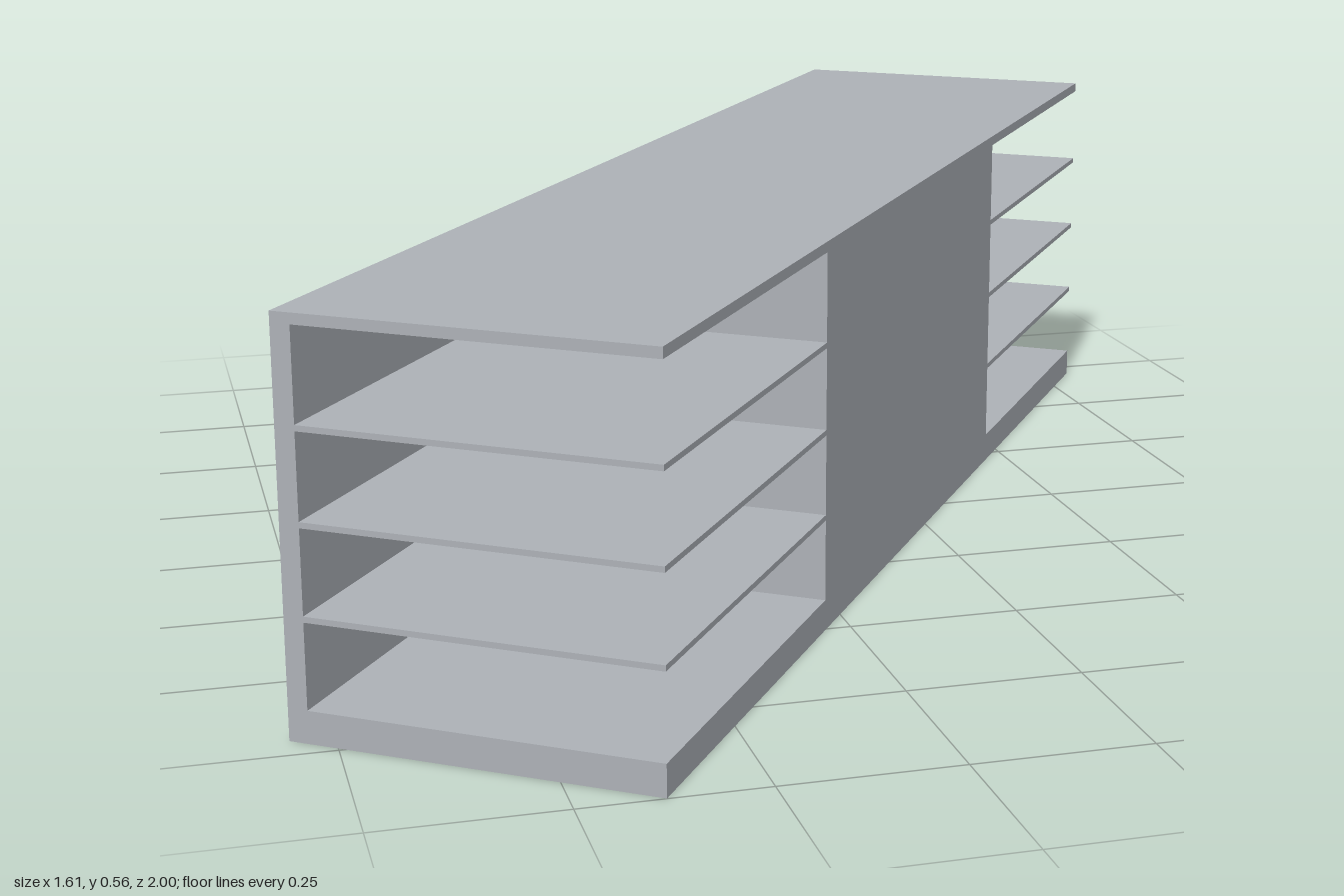
import * as THREE from 'three';

export function createModel() {
  const model = new THREE.Group();
  model.name = 'shelfCounter';

  const grey = new THREE.MeshStandardMaterial({ color: 0xaeb2b8 });
  grey.name = 'paintedGrey';

  // Overall sizes, in the counter's own axes (length along x, open front to +z)
  const length = 2.08, depth = 0.515, height = 0.562;
  const baseHeight = 0.045, topThickness = 0.015, panel = 0.028;
  const shelfThickness = 0.008, coreLength = 0.872;
  const innerDepth = depth - panel;
  const innerHeight = height - baseHeight - topThickness;
  const innerZ = panel / 2;

  const counter = new THREE.Group();
  counter.name = 'counter';
  counter.rotation.y = THREE.MathUtils.degToRad(55);
  model.add(counter);

  // Box whose y is given at its underside
  function addBox(name, w, h, d, x, y, z) {
    const mesh = new THREE.Mesh(new THREE.BoxGeometry(w, h, d), grey);
    mesh.name = name;
    mesh.position.set(x, y + h / 2, z);
    counter.add(mesh);
  }

  addBox('base', length, baseHeight, depth, 0, 0, 0);
  addBox('top', length, topThickness, depth, 0, height - topThickness, 0);
  addBox('backPanel', length, innerHeight, panel, 0, baseHeight, -depth / 2 + panel / 2);
  addBox('centreCabinet', coreLength, innerHeight, innerDepth, 0, baseHeight, innerZ);

  // Three open shelves at each end of the cabinet
  const shelfLength = (length - coreLength) / 2;
  for (const side of [-1, 1]) {
    for (const y of [0.167, 0.291, 0.416]) {
      addBox(side < 0 ? 'rightShelf' : 'leftShelf', shelfLength, shelfThickness, innerDepth,
        side * (coreLength + shelfLength) / 2, y - shelfThickness / 2, innerZ);
    }
  }

  return model;
}
